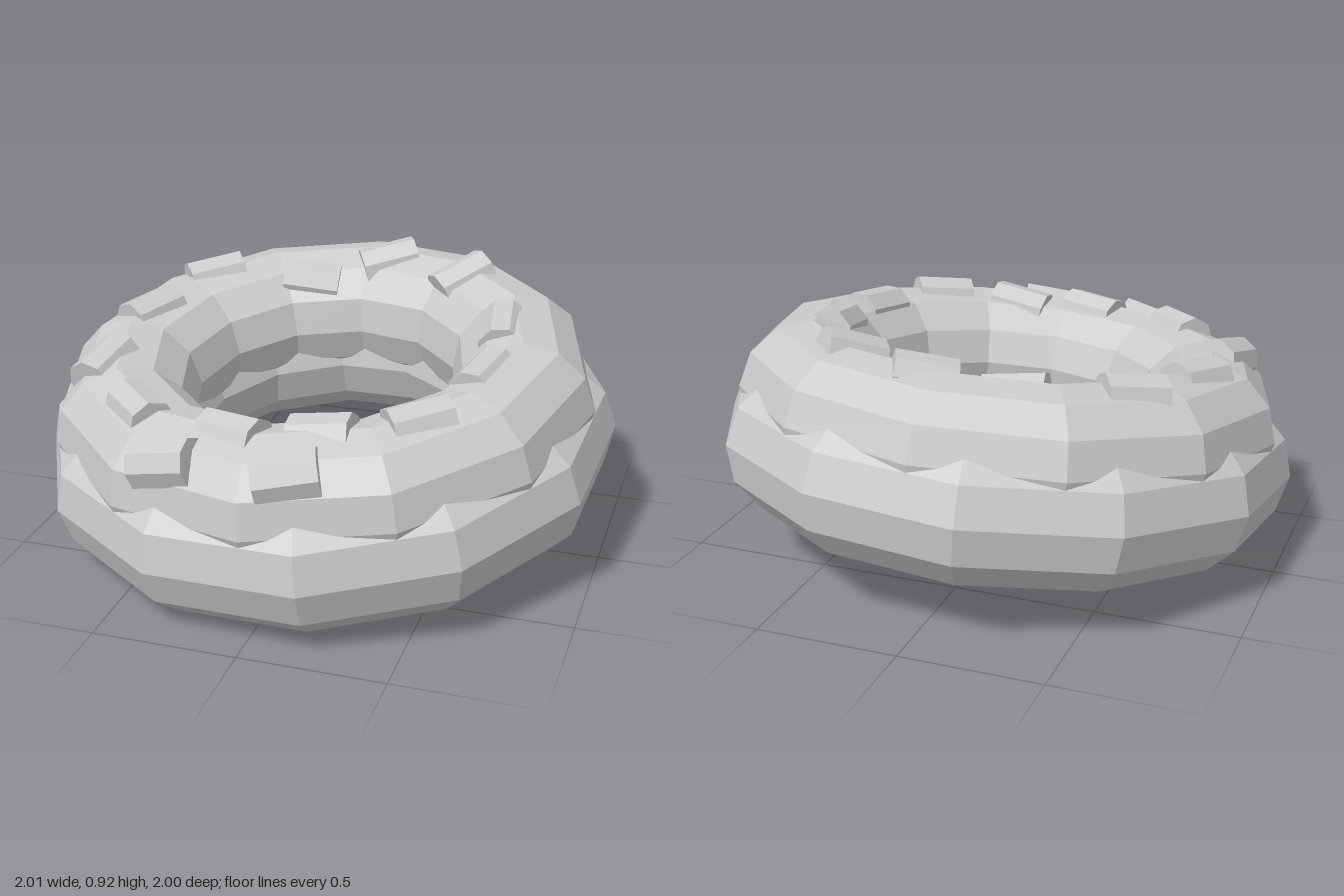
import * as THREE from 'three';

const material = new THREE.MeshStandardMaterial({ color: 0xcccccc, flatShading: true });

// Low-poly ring lying flat, turned about its own axis
function ring(name, major, tube, y, turn) {
  const geo = new THREE.TorusGeometry(major, tube, 12, 12).rotateX(-Math.PI / 2).rotateY(turn);
  const mesh = new THREE.Mesh(geo, material);
  mesh.name = name;
  mesh.position.y = y;
  return mesh;
}

const ICING = { major: 0.72, tube: 0.245, y: 0.16 };

// Sprinkle half sunk into the icing at (x, z), lying along (dx, dz)
function sprinkle(x, z, dx, dz) {
  const rho = Math.hypot(x, z);
  const c = THREE.MathUtils.clamp((rho - ICING.major) / ICING.tube, -0.95, 0.9);
  const s = Math.sqrt(1 - c * c);
  const normal = new THREE.Vector3((x / rho) * c, s, (z / rho) * c);
  const axis = new THREE.Vector3(dx, 0, dz);
  // Lift the axis into the tangent plane, keeping its heading seen from above
  axis.y = -(dx * normal.x + dz * normal.z) / Math.max(s, 0.45);
  axis.addScaledVector(normal, -axis.dot(normal)).normalize();
  const side = new THREE.Vector3().crossVectors(axis, normal);

  const mesh = new THREE.Mesh(new THREE.CylinderGeometry(0.085, 0.085, 0.21, 8), material);
  mesh.name = 'sprinkle';
  mesh.quaternion.setFromRotationMatrix(new THREE.Matrix4().makeBasis(side, axis, normal));
  const r = ICING.major + ICING.tube * c;
  mesh.position.set((x / rho) * r, ICING.y + ICING.tube * s, (z / rho) * r);
  mesh.position.addScaledVector(normal, -0.045);
  return mesh;
}

export function createModel() {
  const model = new THREE.Group();
  model.name = 'doughnut';

  // Whole doughnut leans slightly forward and to one side
  const body = new THREE.Group();
  body.name = 'tiltedBody';
  body.position.y = 0.353;
  body.rotation.set(0.122, 0, 0.05);
  model.add(body);

  body.add(ring('dough', 0.76, 0.265, 0, 0.195));
  body.add(ring('icing', ICING.major, ICING.tube, ICING.y, 0.01));

  // Sprinkles: x, z, heading x, heading z
  const sprinkles = new THREE.Group();
  sprinkles.name = 'sprinkles';
  [
    [-0.30, 0.87, 0.21, 0.02], [0.13, 0.89, 0.20, -0.06],
    [-0.10, 0.71, 0.20, 0.06], [0.18, 0.65, 0.21, 0],
    [0.47, 0.55, 0.16, -0.12], [0.59, 0.21, -0.05, 0.21],
    [0.58, -0.13, 0.03, 0.22], [0.36, -0.50, 0.16, -0.15],
    [0.05, -0.62, 0.20, -0.10], [-0.22, -0.49, 0.21, -0.03],
    [-0.59, -0.42, 0.17, -0.13], [-0.71, -0.08, -0.09, 0.18],
    [-0.73, 0.33, -0.04, 0.20], [-0.47, 0.62, 0.15, 0.14],
  ].forEach(([x, z, dx, dz]) => sprinkles.add(sprinkle(x + 0.018, z - 0.045, dx, dz)));
  body.add(sprinkles);

  return model;
}
